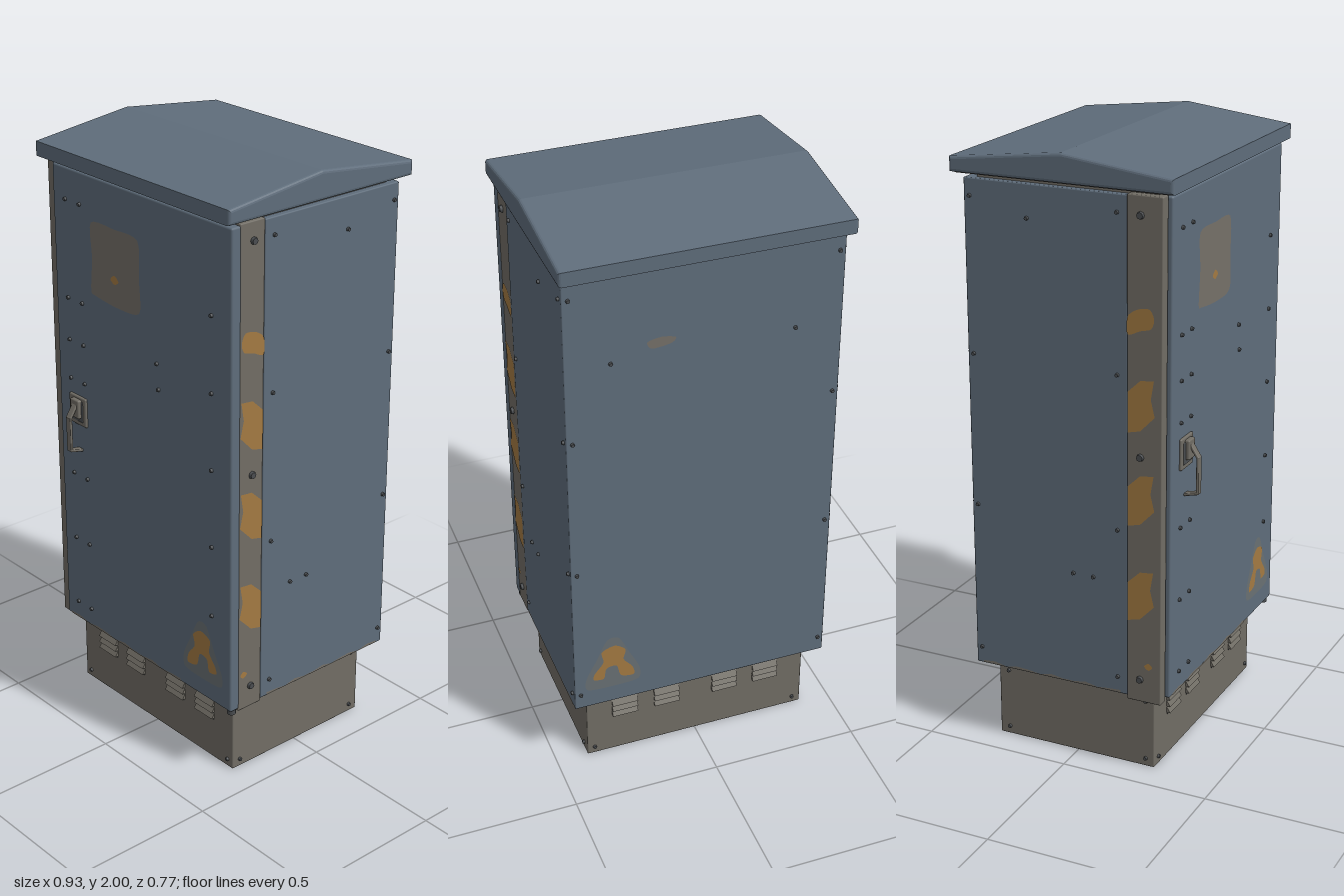
import * as THREE from 'three';
import { RoundedBoxGeometry } from 'three/addons/geometries/RoundedBoxGeometry.js';

const colour = (name, hex, side = THREE.FrontSide) => {
  const m = new THREE.MeshStandardMaterial({ color: hex, side });
  m.name = name;
  return m;
};

export function createModel() {
  const blue = colour('blue paint', 0x5f6d7b);
  const steel = colour('bare steel', 0x716d65);
  const worn = colour('worn paint', 0x757068);
  const faded = colour('faded decal', 0x697073);
  const orange = colour('orange decal', 0xa37a42);
  const dark = colour('dark fastener', 0x4a4d50);

  const model = new THREE.Group();
  model.name = 'utilityCabinet';

  const add = (name, geo, mat, x = 0, y = 0, z = 0, parent = model) => {
    const m = new THREE.Mesh(geo, mat);
    m.name = name;
    m.position.set(x, y, z);
    parent.add(m);
    return m;
  };
  // box given by its limits, with slightly rounded edges
  const block = (name, mat, x0, x1, y0, y1, z0, z1, r = 0.004, parent = model) => add(name,
    new RoundedBoxGeometry(x1 - x0, y1 - y0, z1 - z0, 2, r), mat,
    (x0 + x1) / 2, (y0 + y1) / 2, (z0 + z1) / 2, parent);

  // groups whose local z axis points out of each cabinet side; u is world x or z
  const turns = { front: [0, 1], back: [Math.PI, -1], right: [Math.PI / 2, -1], left: [-Math.PI / 2, 1] };
  const faces = {};
  for (const [name, [angle, sign]] of Object.entries(turns)) {
    const g = new THREE.Group();
    g.name = name + 'Details';
    g.rotation.y = angle;
    model.add(g);
    faces[name] = { g, sign };
  }
  const boltGeo = (r, h) => new THREE.CylinderGeometry(r * 0.8, r, h, 8).rotateX(Math.PI / 2);
  const smallBolt = boltGeo(0.007, 0.009);
  const bigBolt = boltGeo(0.013, 0.012);
  const bolt = (face, u, y, out, geo = smallBolt, mat = dark) => {
    const f = faces[face];
    add('bolt', geo, mat, u * f.sign, y, out + 0.003, f.g);
  };
  // thin painted patch; points are [u, y], rounded by a spline when smooth
  const patch = (name, face, mat, out, pts, smooth = true) => {
    const f = faces[face];
    const v = pts.map(([u, y]) => new THREE.Vector3(u * f.sign, y, 0));
    const curve = new THREE.CatmullRomCurve3(v, true, 'catmullrom', 0.4);
    const outline = smooth ? curve.getPoints(pts.length * 5).slice(0, -1) : v;
    const shape = new THREE.Shape(outline.map(p => new THREE.Vector2(p.x, p.y)));
    add(name, new THREE.ShapeGeometry(shape), mat, 0, 0, out, f.g);
  };

  // plinth
  block('plinth', steel, -0.395, 0.39, 0, 0.28, -0.29, 0.275);
  const hood = new THREE.ExtrudeGeometry(new THREE.Shape([
    new THREE.Vector2(0, 0.014), new THREE.Vector2(0, -0.007), new THREE.Vector2(0.013, -0.007),
  ]), { depth: 0.09, bevelEnabled: false }).translate(0, 0, -0.045).rotateY(-Math.PI / 2);
  const slot = new THREE.BoxGeometry(0.084, 0.007, 0.002);
  for (const [face, out] of [['front', 0.275], ['back', 0.29]]) {
    for (const y of [0.208, 0.185, 0.162]) {
      for (const x of [-0.255, -0.105, 0.105, 0.255]) {
        add('ventHood', hood, steel, x, y, out, faces[face].g);
        add('ventSlot', slot, dark, x, y - 0.01, out + 0.001, faces[face].g);
      }
    }
  }
  for (const y of [0.028, 0.235]) {
    for (const s of [-1, 1]) {
      bolt('front', s * 0.365, y, 0.275);
      bolt('back', s * 0.365, y, 0.29);
      bolt('right', s * 0.25 - 0.005, y, 0.39);
      bolt('left', s * 0.25 - 0.005, y, 0.395);
    }
  }

  // cabinet body, floor and neck below the roof
  block('body', blue, -0.445, 0.445, 0.272, 1.895, -0.345, 0.205);
  block('floor', steel, -0.435, 0.435, 0.268, 0.28, -0.335, 0.3, 0.003);
  block('neck', steel, -0.425, 0.425, 1.88, 1.92, -0.31, 0.3);

  // door and its hinge and lock posts
  block('door', blue, -0.41, 0.446, 0.272, 1.895, 0.298, 0.335, 0.007);
  block('rightPost', steel, 0.40, 0.444, 0.262, 1.9, 0.205, 0.3);
  block('leftPost', steel, -0.451, -0.414, 0.262, 1.9, 0.205, 0.322);
  block('doorFrame', dark, -0.42, 0.41, 0.29, 1.89, 0.2, 0.3);
  add('hingePin', new THREE.CylinderGeometry(0.014, 0.014, 0.02, 10), dark, 0.428, 0.264, 0.315);

  // pitched roof with rounded rim
  const roofShape = new THREE.Shape([
    [-0.36, 1.91], [0.385, 1.91], [0.385, 1.958], [0.005, 2.002], [-0.36, 1.958],
  ].map(p => new THREE.Vector2(...p)));
  const roofGeo = new THREE.ExtrudeGeometry(roofShape, {
    depth: 0.906, bevelThickness: 0.01, bevelSize: 0.01, bevelOffset: -0.01, bevelSegments: 3,
  }).translate(0, 0, -0.453).rotateY(Math.PI / 2);
  add('roof', roofGeo, blue);
  block('roofUnderside', steel, -0.45, 0.45, 1.907, 1.915, -0.372, 0.347, 0.002);

  // door fasteners
  for (const y of [1.79, 1.46, 1.315, 1.18, 0.835, 0.59, 0.34]) {
    for (const x of [-0.345, -0.272]) bolt('front', x, y, 0.335);
  }
  for (const y of [1.605, 1.355, 1.1, 0.835, 0.59]) bolt('front', 0.357, y, 0.335);
  bolt('front', 0.1, 1.37, 0.335);
  bolt('front', 0.107, 1.285, 0.335);

  // side and back fasteners
  for (const y of [1.84, 1.34, 0.835, 0.33]) {
    for (const side of ['left', 'right']) {
      bolt(side, 0.17, y, 0.445);
      bolt(side, -0.325, y, 0.445);
    }
    for (const x of [-0.425, 0.425]) bolt('back', x, y, 0.345);
  }
  for (const y of [1.84, 1.09, 0.34]) {
    bolt('right', 0.25, y, 0.444, bigBolt);
    bolt('left', 0.25, y, 0.451, bigBolt);
  }
  for (const side of ['left', 'right']) {
    for (const [z, y] of [[-0.13, 1.79], [0.085, 0.66], [0.015, 0.66]]) bolt(side, z, y, 0.445);
  }
  for (const x of [-0.29, 0.3]) bolt('back', x, 1.6, 0.345);

  // swing handle
  const handle = new THREE.Group();
  handle.name = 'handle';
  model.add(handle);
  block('handlePlate', steel, -0.352, -0.264, 1.025, 1.128, 0.33, 0.343, 0.005, handle);
  block('handleRecess', dark, -0.338, -0.278, 1.04, 1.114, 0.336, 0.346, 0.004, handle);
  block('handlePivot', steel, -0.328, -0.284, 1.055, 1.12, 0.34, 0.358, 0.005, handle);
  const lever = (name, y0, z0, y1, z1) => {
    const m = block(name, steel, -0.317, -0.293, 0, Math.hypot(y1 - y0, z1 - z0) + 0.008, 0, 0.009, 0.003, handle);
    m.position.set(-0.305, (y0 + y1) / 2, (z0 + z1) / 2);
    m.rotation.x = Math.atan2(z1 - z0, y1 - y0);
  };
  lever('leverTop', 1.105, 0.352, 1.062, 0.38);
  lever('leverGrip', 1.062, 0.38, 0.945, 0.38);
  lever('leverEnd', 0.945, 0.38, 0.935, 0.338);

  // worn label on the door
  patch('wornLabel', 'front', worn, 0.3365, [[-0.215, 1.745], [-0.1, 1.752], [0.015, 1.745], [0.02, 1.62],
    [0.018, 1.51], [-0.09, 1.497], [-0.2, 1.507], [-0.222, 1.52], [-0.213, 1.63]]);
  patch('labelSpot', 'front', orange, 0.338, [[-0.12, 1.585], [-0.1, 1.602], [-0.08, 1.585], [-0.1, 1.572]]);
  patch('backLabel', 'back', worn, 0.3465, [[0.095, 1.65], [0.14, 1.66], [0.185, 1.65], [0.17, 1.625], [0.11, 1.632]]);

  // triangular warning decals
  for (const [face, out] of [['front', 0.3365], ['back', 0.3465]]) {
    patch('warningBorder', face, faded, out, [[0.225, 0.345], [0.315, 0.338], [0.4, 0.345], [0.405, 0.39],
      [0.365, 0.47], [0.33, 0.54], [0.29, 0.54], [0.255, 0.47], [0.22, 0.395]]);
    patch('warningSign', face, orange, out + 0.0015, [[0.24, 0.37], [0.285, 0.378], [0.3, 0.425], [0.335, 0.42],
      [0.345, 0.38], [0.38, 0.385], [0.375, 0.41], [0.345, 0.45], [0.35, 0.495], [0.305, 0.512],
      [0.268, 0.485], [0.275, 0.445], [0.245, 0.405]]);
  }

  // hazard stripes on both posts
  for (const [side, out] of [['right', 0.4455], ['left', 0.4525]]) {
    patch('hazardStripe', side, orange, out, [[0.295, 1.53], [0.28, 1.56], [0.24, 1.555], [0.208, 1.53],
      [0.208, 1.475], [0.25, 1.49], [0.285, 1.5]]);
    for (const y of [1.25, 0.945, 0.625]) {
      patch('hazardStripe', side, orange, out, [[0.295, y + 0.09], [0.25, y + 0.085], [0.208, y + 0.045],
        [0.208, y - 0.085], [0.25, y - 0.075], [0.298, y - 0.025], [0.285, y + 0.03]], false);
    }
    patch('hazardSpot', side, orange, out, [[0.293, 0.39], [0.28, 0.402], [0.265, 0.39], [0.28, 0.378]]);
  }

  // chipped paint along the lower edges
  for (const [face, out, lo, hi] of [['front', 0.3358, -0.39, 0.2], ['right', 0.4458, -0.32, 0.18], ['left', 0.4458, -0.32, 0.18]]) {
    const top = [];
    for (let i = 0; i <= 12; i++) top.push([lo + (hi - lo) * i / 12, 0.281 + 0.005 * Math.sin(i * 2.3)]);
    patch('chippedEdge', face, worn, out, [[lo, 0.275], ...top, [hi, 0.275]], false);
  }
  return model;
}
